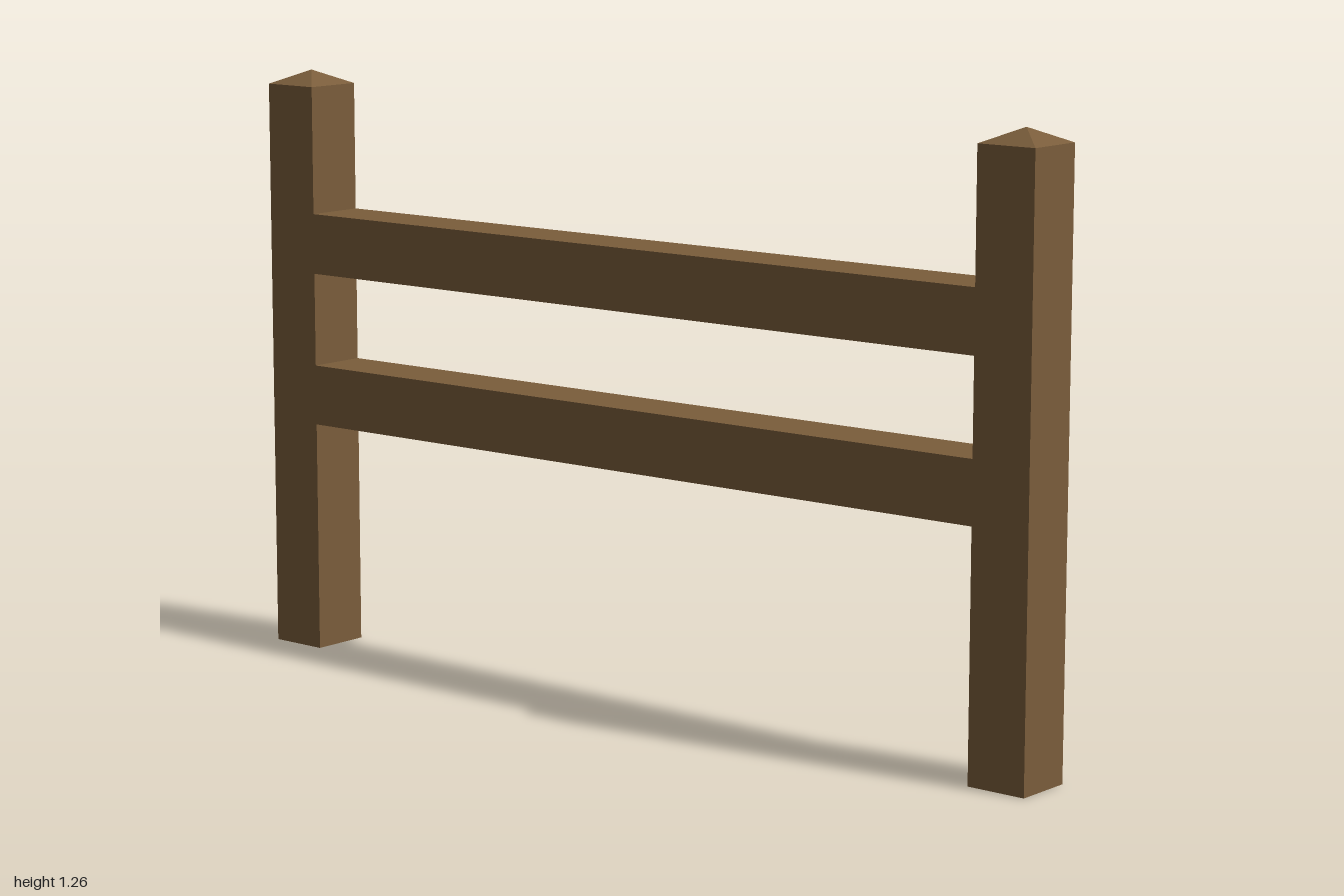
import * as THREE from 'three';

const T = 0.13;          // timber thickness
const POST_X = 1 - T / 2;
const POST_H = 1.235;
const CAP_H = 0.03;

export function createModel() {
  const group = new THREE.Group();
  group.name = 'fence';
  const wood = new THREE.MeshStandardMaterial({ color: 0x7a5d3b });
  wood.name = 'brown wood';

  const add = (name, geometry, x, y) => {
    const mesh = new THREE.Mesh(geometry, wood);
    mesh.name = name;
    mesh.position.set(x, y, 0);
    group.add(mesh);
  };

  // square posts with shallow pyramid caps
  for (const [side, s] of [['left', 1], ['right', -1]]) {
    add(side + 'Post', new THREE.BoxGeometry(T, POST_H, T), s * POST_X, POST_H / 2);
    const cap = new THREE.ConeGeometry(T / Math.SQRT2, CAP_H, 4, 1, true).rotateY(Math.PI / 4).toNonIndexed();
    cap.computeVertexNormals();
    add(side + 'PostCap', cap, s * POST_X, POST_H + CAP_H / 2);
  }

  // rails between the posts, sheared so they rise slightly towards +x
  for (const [name, y, rise] of [['upperRail', 0.898, 0.004], ['lowerRail', 0.569, 0.008]]) {
    const length = 2 - 2 * T;
    const rail = new THREE.BoxGeometry(length, T, T);
    const p = rail.attributes.position;
    for (let i = 0; i < p.count; i++) p.setY(i, p.getY(i) + (p.getX(i) / length) * rise);
    rail.computeVertexNormals();
    add(name, rail, 0, y);
  }
  return group;
}
